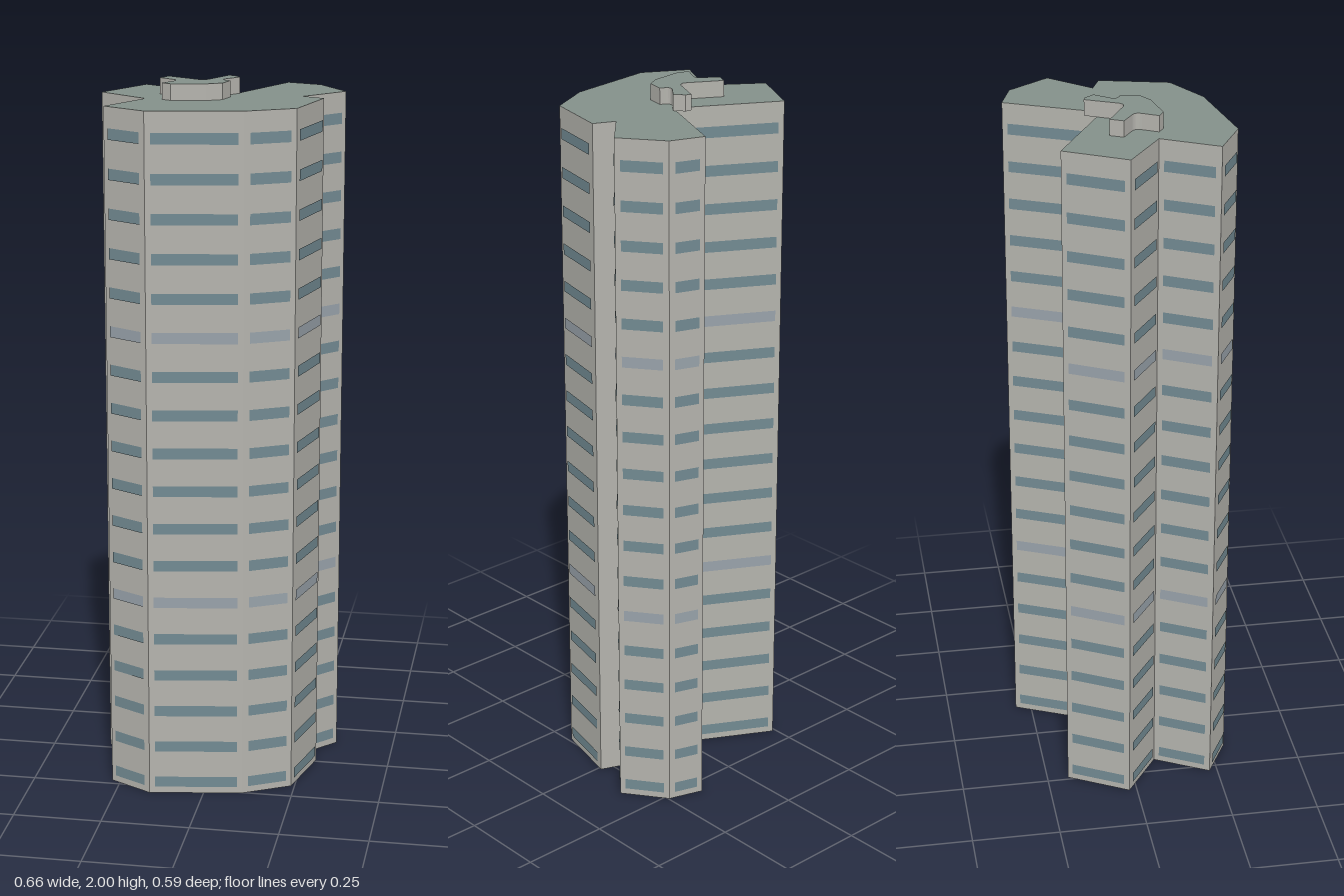
import * as THREE from 'three';
import { mergeGeometries } from 'three/addons/utils/BufferGeometryUtils.js';

const ROOF_Y = 1.955, TOP_Y = 2, FLOORS = 18;

// Plan outlines as [x, z], listed so that the outside lies to the left of travel.
const towerPlan = [
  [-0.333, -0.022], [-0.24, -0.19], [0.031, -0.041], [0.15, -0.296], [0.247, -0.264],
  [0.332, -0.147], [0.228, -0.035], [0.288, -0.01], [0.24, 0.182], [0.11, 0.252],
  [-0.152, 0.294], [-0.275, 0.227], [-0.192, 0.075],
];
// A third number rounds that corner, cutting it back by that distance.
const penthousePlan = [
  [-0.167, -0.013], [-0.149, -0.048], [-0.039, 0.013, 0.023], [0.012, -0.092], [0.028, -0.087],
  [0.048, -0.06], [0.002, -0.004, 0.023], [0.033, 0.01], [0.02, 0.062], [-0.02, 0.085],
  [-0.117, 0.1], [-0.143, 0.085], [-0.109, 0.026, 0.019],
];

const material = (color) => new THREE.MeshStandardMaterial({ color, side: THREE.DoubleSide });
const wallMat = material(0xb4b3ad);
const roofMat = material(0x84908a);
const glassMat = material(0x728a92);
const paleMat = material(0x98a2aa);

function roundCorners(plan) {
  const pts = plan.map(([x, z]) => new THREE.Vector2(x, z));
  return pts.flatMap((p, i) => {
    const cut = plan[i][2];
    if (!cut) return [p];
    const toward = (q) => p.clone().add(q.clone().sub(p).setLength(cut));
    const a = toward(pts[(i + pts.length - 1) % pts.length]);
    const b = toward(pts[(i + 1) % pts.length]);
    return new THREE.QuadraticBezierCurve(a, p, b).getPoints(6);
  });
}

// Upright rectangle along plan edge a-b, inset at its ends and pushed outward.
function panel(a, b, y0, y1, inset = 0, out = 0) {
  const dx = b.x - a.x, dz = b.y - a.y, len = Math.hypot(dx, dz);
  const nx = dz / len, nz = -dx / len;
  return new THREE.PlaneGeometry(len - 2 * inset, y1 - y0)
    .rotateY(Math.atan2(nx, nz))
    .translate((a.x + b.x) / 2 + nx * out, (y0 + y1) / 2, (a.y + b.y) / 2 + nz * out);
}

const edges = (pts) => pts.map((p, i) => [p, pts[(i + 1) % pts.length]]);

function addMesh(group, name, geometry, mat) {
  const mesh = new THREE.Mesh(geometry, mat);
  mesh.name = name;
  group.add(mesh);
}

// Walls and flat roof over a plan, open underneath.
function addBlock(group, name, pts, y0, y1) {
  addMesh(group, name + 'Walls', mergeGeometries(edges(pts).map(([a, b]) => panel(a, b, y0, y1))), wallMat);
  const shape = new THREE.Shape(pts.map((p) => new THREE.Vector2(p.x, -p.y)));
  const roof = new THREE.ShapeGeometry(shape).rotateX(-Math.PI / 2).translate(0, y1, 0);
  addMesh(group, name + 'Roof', roof, roofMat);
}

export function createModel() {
  const group = new THREE.Group();
  group.name = 'apartmentTower';

  const tower = roundCorners(towerPlan);
  addBlock(group, 'tower', tower, 0, ROOF_Y);
  addBlock(group, 'penthouse', roundCorners(penthousePlan), ROOF_Y, TOP_Y);

  // One window strip per storey on every long wall; two storeys are paler.
  const step = ROOF_Y / FLOORS;
  const glazed = edges(tower).filter(([a, b]) => a.distanceTo(b) > 0.08);
  const dark = [], pale = [];
  for (let f = 0; f < FLOORS; f++) {
    const y = f * step + 0.02;
    const list = f === 5 || f === 12 ? pale : dark;
    for (const [a, b] of glazed) list.push(panel(a, b, y, y + 0.031, 0.016, 0.003));
  }
  addMesh(group, 'windowStrips', mergeGeometries(dark), glassMat);
  addMesh(group, 'paleWindowStrips', mergeGeometries(pale), paleMat);
  return group;
}
